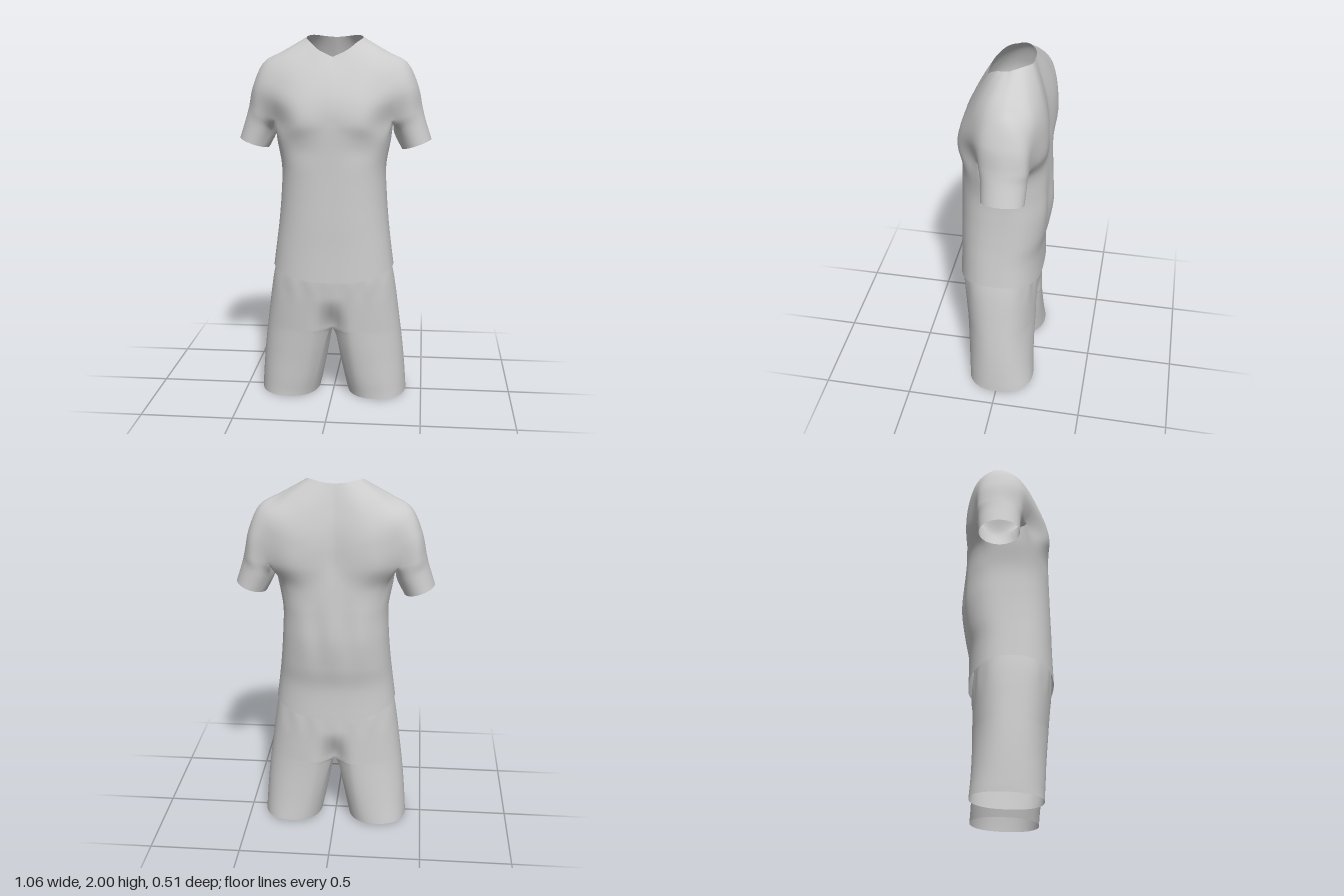
import * as THREE from 'three';
import { mergeGeometries, mergeVertices } from 'three/addons/utils/BufferGeometryUtils.js';

const { lerp, smoothstep } = THREE.MathUtils;
const bump = (v, centre, width) => Math.exp(-(((v - centre) / width) ** 2));
const spow = (v, e) => Math.sign(v) * Math.abs(v) ** e;
const range = (n, f) => Array.from({ length: n }, (_, i) => f(i));

// Smoothly interpolated row of a table, f counted in rows
function sample(table, f) {
  const i = Math.min(Math.floor(f), table.length - 2);
  const k = f - i;
  const row = (n) => table[Math.max(0, Math.min(table.length - 1, n))];
  return table[0].map((_, c) => {
    const [a, b, d, e] = [row(i - 1)[c], row(i)[c], row(i + 1)[c], row(i + 2)[c]];
    return b + 0.5 * k * (d - a + k * (2 * a - 5 * b + 4 * d - e + k * (3 * (b - d) + e - a)));
  });
}

// Smooth run of rings through key rings, from one key to another
function between(keys, first, last, steps) {
  const flat = keys.map((ring) => ring.flat());
  return range(steps + 1, (s) => {
    const v = sample(flat, lerp(first, last, s / steps));
    return range(v.length / 3, (i) => v.slice(i * 3, i * 3 + 3));
  });
}

// Full ring from the half that runs front centre, left side, back centre
const mirrored = (half) => [...half, ...half.slice(1, -1).reverse().map(([x, y, z]) => [-x, y, z])];

// Skin between closed rings of [x, y, z] points
function loft(rings, flip = false) {
  const n = rings[0].length;
  const index = [];
  for (let r = 0; r < rings.length - 1; r++) {
    for (let i = 0; i < n; i++) {
      const a = r * n + i, b = r * n + ((i + 1) % n);
      const c = a + n, d = b + n;
      if (flip) index.push(a, b, c, b, d, c);
      else index.push(a, c, b, b, c, d);
    }
  }
  const g = new THREE.BufferGeometry();
  g.setAttribute('position', new THREE.Float32BufferAttribute(rings.flat(2), 3));
  g.setIndex(index);
  return g;
}

// Parts sewn into one smooth garment
function weld(parts) {
  const g = mergeVertices(mergeGeometries(parts), 1e-4);
  g.computeVertexNormals();
  return g;
}

// Half rings of the yoke from collar to armpits:
// front centre, chest, front armpit, three round the arm, back armpit, shoulder blade, back centre
const YOKE = [
  [[0, 1.89, 0.10], [0.075, 1.925, 0.085], [0.125, 1.965, 0.04], [0.147, 1.98, 0], [0.153, 1.985, -0.03],
    [0.148, 1.995, -0.06], [0.12, 2.0, -0.10], [0.065, 1.993, -0.135], [0, 1.987, -0.14]],
  [[0, 1.80, 0.16], [0.12, 1.81, 0.148], [0.22, 1.85, 0.105], [0.27, 1.895, 0.04], [0.288, 1.912, -0.03],
    [0.28, 1.91, -0.08], [0.24, 1.90, -0.145], [0.13, 1.88, -0.187], [0, 1.89, -0.172]],
  [[0, 1.70, 0.208], [0.15, 1.71, 0.193], [0.28, 1.76, 0.13], [0.365, 1.82, 0.05], [0.393, 1.852, -0.045],
    [0.38, 1.84, -0.118], [0.31, 1.81, -0.185], [0.17, 1.77, -0.222], [0, 1.78, -0.205]],
  [[0, 1.62, 0.23], [0.17, 1.63, 0.215], [0.31, 1.67, 0.135], [0.417, 1.72, 0.058], [0.453, 1.73, -0.055],
    [0.428, 1.72, -0.152], [0.335, 1.70, -0.194], [0.19, 1.68, -0.235], [0, 1.68, -0.222]],
  [[0, 1.54, 0.236], [0.18, 1.54, 0.222], [0.316, 1.555, 0.1], [0.43, 1.60, 0.06], [0.479, 1.615, -0.055],
    [0.442, 1.60, -0.164], [0.335, 1.57, -0.182], [0.2, 1.57, -0.235], [0, 1.57, -0.226]],
];
// Trunk below the armpits: half width, side y, front and back y, front z, back z
const TRUNK = [
  [0.311, 1.45, 1.45, 0.237, -0.234],
  [0.286, 1.30, 1.30, 0.237, -0.242],
  [0.29, 1.15, 1.15, 0.24, -0.246],
  [0.302, 1.0, 1.0, 0.244, -0.232],
  [0.316, 0.88, 0.865, 0.246, -0.21],
  [0.333, 0.75, 0.69, 0.252, -0.212],
];
const HALF = 48, FRONT = 12, BACK = 36;

function trunkHalf([w, yS, yE, zF, zB]) {
  return range(HALF + 1, (i) => {
    const deg = i <= FRONT ? lerp(0, 68, i / FRONT)
      : i <= BACK ? lerp(68, 122, (i - FRONT) / (BACK - FRONT))
        : lerp(122, 180, (i - BACK) / (HALF - BACK));
    const a = deg * Math.PI / 180, c = Math.cos(a);
    const x = i === 0 || i === HALF ? 0 : w * Math.sin(a) ** 0.8;
    return [x, lerp(yS, yE, c * c), (zF + zB) / 2 + ((zF - zB) / 2) * spow(c, 0.8)];
  });
}

// Chest fullness in front, spine hollow and draped folds behind
function drape([x, y, z]) {
  const front = smoothstep(z, 0, 0.1), back = smoothstep(-z, 0, 0.1);
  const chest = 0.006 * bump(Math.abs(x), 0.15, 0.09) * bump(y, 1.57, 0.1)
    - 0.008 * bump(y, 1.41, 0.07) * bump(Math.abs(x), 0.16, 0.1);
  const spine = 0.01 * bump(x, 0, 0.07) * bump(y, 1.66, 0.16)
    - 0.009 * bump(y, 1.19, 0.17) * bump(x, 0, 0.17) * Math.cos(x * 38);
  return [x, y, z + front * chest + back * spine];
}

// Half sleeve ring: centre x, centre y, radius, half depth
const cuff = (cx, cy, rad, depth) => range(HALF, (i) => {
  const a = lerp(-45, 315, i <= 24 ? i / 32 : 0.75 + (i - 24) / 96) * Math.PI / 180;
  const d = rad * Math.sin(a);
  return [cx + d * Math.cos(0.33), cy + d * Math.sin(0.33), -0.054 + depth * Math.cos(a)];
});

function shirt() {
  const yoke = YOKE.map((row) => range(HALF + 1, (i) => sample(row, (i / HALF) * (row.length - 1))));
  const [above, split] = yoke.slice(-2);
  // Underarm seam shared by the trunk and the sleeve
  const seam = range(BACK - FRONT - 1, (i) => {
    const v = (i + 1) / (BACK - FRONT);
    const p = split[FRONT].map((c, k) => lerp(c, split[BACK][k], v));
    return [p[0], p[1] + 0.02 * Math.sin(v * Math.PI), p[2]];
  });
  const trunkPart = (half) => [...half.slice(0, FRONT + 1), ...seam, ...half.slice(BACK)];
  const armPart = (half) => [...half.slice(FRONT, BACK + 1), ...seam.toReversed()];

  // Each run looks one key past the split so the cloth flows on smoothly
  const trunk = TRUNK.map(trunkHalf);
  const cuffs = [cuff(0.41, 1.515, 0.092, 0.117), cuff(0.45, 1.415, 0.085, 0.111)];
  const below = trunk[0].map((p, i) => (i > FRONT && i < BACK ? cuffs[0][i - FRONT] : p));
  const yokeRings = between([...yoke, below].map(mirrored), 0, 4, 40);
  const trunkRings = between([trunkPart(above), trunkPart(split), ...trunk].map(mirrored), 1, 7, 54);
  const sleeve = between([armPart(above), armPart(split), ...cuffs], 1, 3, 24);
  const draped = (rings, side = 1) => rings.map((ring) => ring.map((p) => {
    const [x, y, z] = drape(p);
    return [side * x, y, z];
  }));
  return weld([
    loft(draped(yokeRings)), loft(draped(trunkRings)),
    loft(draped(sleeve)), loft(draped(sleeve, -1), true),
  ]);
}

// Shorts from waist to hem as one outline: half width, y, front z, back z
const SHORTS = [
  [0.312, 0.80, 0.234, -0.18],
  [0.334, 0.70, 0.238, -0.187],
  [0.35, 0.60, 0.233, -0.19],
  [0.363, 0.50, 0.226, -0.191],
  [0.376, 0.40, 0.218, -0.192],
  [0.388, 0.30, 0.21, -0.193],
  [0.398, 0.20, 0.2, -0.194],
  [0.406, 0.10, 0.19, -0.195],
  [0.412, 0, 0.178, -0.197],
];
const N = 44, M = 14, CROTCH = 0.4, CROTCH_ROW = 4;

// Point on one half of the outline, u from front centre round the hip to back centre
function outlinePoint(row, u) {
  const [w, y, zF, zB] = sample(SHORTS, row);
  const a = u * Math.PI, c = Math.cos(a);
  const x = u === 0 || u === 1 ? 0 : w * Math.sin(a) ** 0.83;
  const mid = (zF + zB) / 2;
  const pull = 0.075 * (1 - smoothstep(y, CROTCH, 0.6)) * bump(x, 0, 0.055);
  const pleat = 0.004 * bump(y, 0.66, 0.07) * Math.cos(x * 60);
  return [x, y, mid + (zF - mid) * spow(c, 0.83) - Math.sign(c) * (pull - pleat * Math.abs(c))];
}

function leg(side) {
  const front = outlinePoint(CROTCH_ROW, 0)[2], back = outlinePoint(CROTCH_ROW, 1)[2];
  const rings = range(33, (r) => {
    const t = (r / 32) ** 1.2;
    const row = lerp(CROTCH_ROW, SHORTS.length - 1, t);
    const [outer, , zF, zB] = sample(SHORTS, row);
    const inner = 0.03 + 0.05 * t;
    const cx = (inner + outer) / 2, hw = (outer - inner) / 2;
    return range(N + M, (i) => {
      // Outer part follows the outline, inner part follows the crotch seam
      const out = i <= N;
      const v = out ? i / N : (i - N) / M;
      const from = out ? outlinePoint(row, v) : [0, CROTCH, lerp(back, front, v)];
      const s = t ** (out ? 0.5 + 1.2 * Math.sin(v * Math.PI) : 0.5);
      const a = (out ? lerp(-45, 225, v) : lerp(225, 315, v)) * Math.PI / 180;
      const x = cx + hw * spow(Math.sin(a), 0.88);
      const z = (zF + zB) / 2 + ((zF - zB) / 2) * spow(Math.cos(a), 0.88);
      return [side * lerp(from[0], x, s), lerp(CROTCH, 0.008 - 0.008 * Math.cos(a), t), lerp(from[2], z, s)];
    });
  });
  return loft(rings, side < 0);
}

function shorts() {
  const seat = range(25, (r) => mirrored(range(N + 1, (i) => outlinePoint((r / 24) * CROTCH_ROW, i / N))));
  return weld([loft(seat), leg(1), leg(-1)]);
}

export function createModel() {
  const fabric = new THREE.MeshStandardMaterial({ color: 0xcccccc, side: THREE.DoubleSide });
  fabric.name = 'grey fabric';
  const model = new THREE.Group();
  model.name = 'sportsOutfit';
  for (const [name, geometry] of [['shirt', shirt()], ['shorts', shorts()]]) {
    const mesh = new THREE.Mesh(geometry, fabric);
    mesh.name = name;
    model.add(mesh);
  }
  return model;
}
